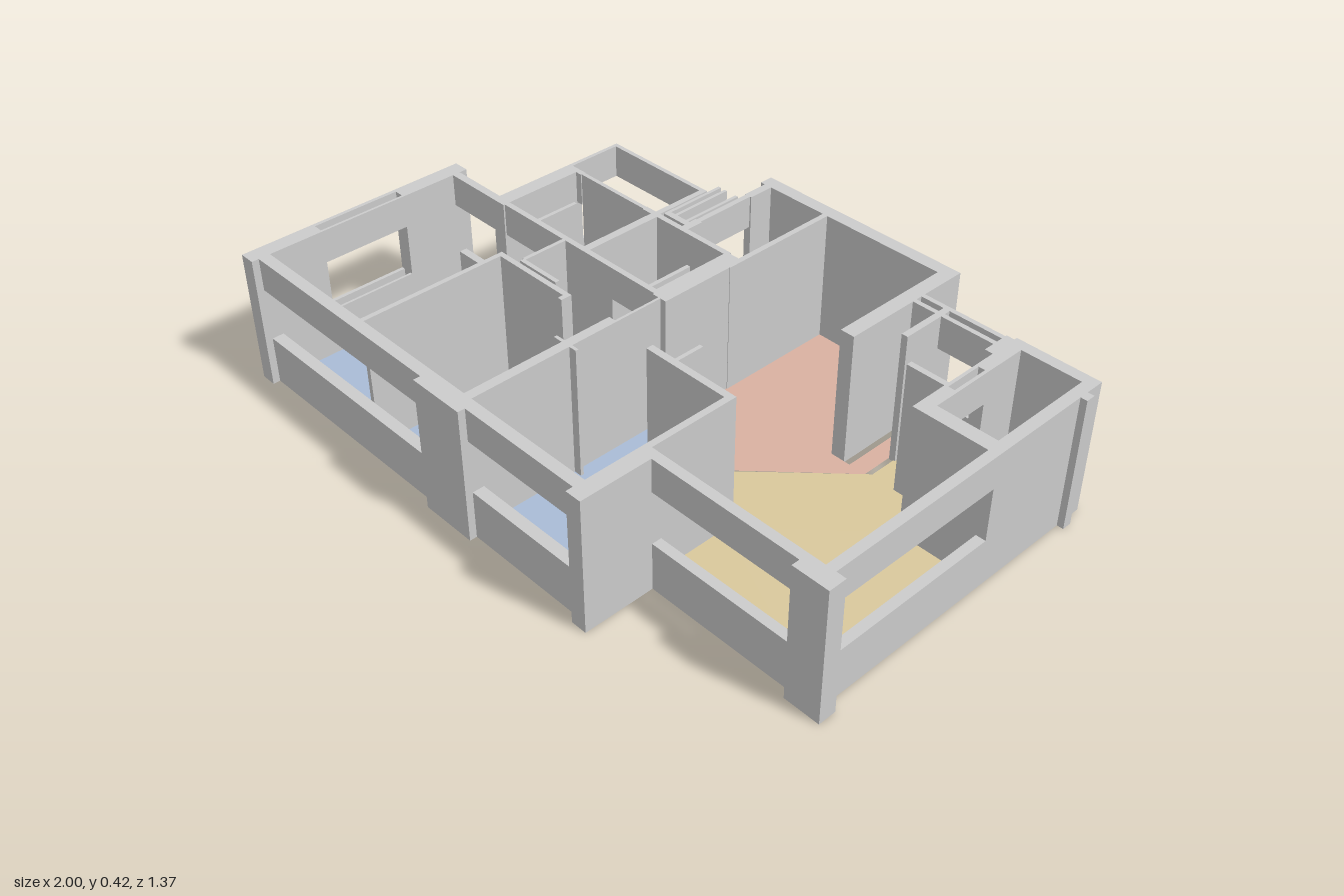
import * as THREE from 'three';

const H = 0.418, SILL = 0.15, HEAD = 0.315;

export function createModel() {
  const root = new THREE.Group();
  root.name = 'apartment';
  const grey = new THREE.MeshStandardMaterial({ color: 0xcccccc });

  // Box given by its plan limits and height range
  function wall(name, x0, x1, z0, z1, y0 = 0, y1 = H) {
    const m = new THREE.Mesh(new THREE.BoxGeometry(x1 - x0, y1 - y0, z1 - z0), grey);
    m.position.set((x0 + x1) / 2, (y0 + y1) / 2, (z0 + z1) / 2);
    m.name = name;
    root.add(m);
  }
  // Sill and lintel with an open band between
  function windowWall(name, x0, x1, z0, z1) {
    wall(name + 'Sill', x0, x1, z0, z1, 0, SILL);
    wall(name + 'Lintel', x0, x1, z0, z1, HEAD, H);
  }
  // Doorway: lintel only
  const doorway = (name, ...plan) => wall(name + 'Lintel', ...plan, HEAD, H);

  // Room floors
  function floor(name, color, pts) {
    const shape = new THREE.Shape(pts.map(([x, z]) => new THREE.Vector2(x, -z)));
    const geo = new THREE.ShapeGeometry(shape).rotateX(-Math.PI / 2);
    const mat = new THREE.MeshStandardMaterial({ color, side: THREE.DoubleSide });
    const m = new THREE.Mesh(geo, mat);
    m.position.y = 0.004;
    m.name = name;
    root.add(m);
  }
  const rect = (x0, x1, z0, z1) => [[x0, z0], [x1, z0], [x1, z1], [x0, z1]];
  floor('bedroomFloor', 0xa9bcd6, [[-0.95, -0.01], [-0.45, -0.02], [0.085, -0.02], [0.175, 0.06],
    [0.175, 0.15], [0.375, 0.17], [0.375, 0.625], [-0.95, 0.625]]);
  floor('diningFloor', 0xd9b1a1, [[-0.03, -0.645], [0.375, -0.645], [0.375, -0.25], [0.44, -0.25],
    [0.44, -0.48], [0.495, -0.48], [0.495, -0.25], [0.175, 0.06], [0.085, -0.02], [-0.03, -0.02]]);
  floor('livingFloor', 0xd9c89c, [[0.51, -0.49], [0.71, -0.49], [0.71, -0.14], [0.94, -0.14], [0.94, 0.43],
    [0.385, 0.43], [0.385, 0.17], [0.18, 0.15], [0.18, 0.06], [0.495, -0.25], [0.51, -0.265]]);
  floor('kitchenFloor', 0xb9beb7, [[-0.25, -0.645], [-0.045, -0.645], [-0.045, -0.53], [-0.105, -0.5],
    [-0.045, -0.47], [-0.045, -0.3], [-0.25, -0.3]]);
  floor('bathroomFloor', 0x9fcbc8, rect(-0.36, -0.09, -0.29, -0.03));
  floor('balconyFloor', 0xcbc5bb, rect(-0.75, -0.38, -0.48, -0.3));
  floor('studyFloor', 0xcbc5bb, rect(-0.71, -0.385, -0.29, -0.03));
  floor('storeFloor', 0xcbc5bb, rect(0.75, 0.935, -0.52, -0.18));

  // Left end of the house
  wall('leftWallBack', -1, -0.95, -0.06, 0.17);
  wall('leftWallFront', -1, -0.95, 0.45, 0.68);
  windowWall('leftWindowOuter', -1, -0.988, 0.17, 0.45);
  windowWall('leftWindowInner', -0.958, -0.95, 0.17, 0.45);
  windowWall('leftRoomBackWindow', -0.95, -0.76, -0.035, -0.01);

  // Front face
  windowWall('frontLeftWindow', -0.95, -0.21, 0.622, 0.658);
  wall('frontPier', -0.21, -0.03, 0.622, 0.68);
  windowWall('frontMiddleWindow', -0.03, 0.37, 0.622, 0.658);
  wall('stepWall', 0.37, 0.42, 0.43, 0.68);
  windowWall('frontRightWindow', 0.42, 0.89, 0.43, 0.46);
  wall('frontCornerPier', 0.89, 1, 0.43, 0.485);

  // Right face and store room
  windowWall('rightWindow', 0.94, 0.97, -0.14, 0.43);
  wall('storeFrontWall', 0.71, 0.97, -0.18, -0.135);
  wall('storeRightWall', 0.935, 0.97, -0.55, -0.18);
  wall('storeBackWall', 0.71, 0.97, -0.55, -0.515);
  wall('storeLeftWallBack', 0.71, 0.75, -0.515, -0.38);
  wall('storeLeftWallFront', 0.71, 0.75, -0.26, -0.18);
  doorway('storeDoor', 0.71, 0.72, -0.38, -0.26);
  doorway('storeDoorInner', 0.74, 0.75, -0.38, -0.26);
  wall('storeButtress', 0.97, 0.99, -0.49, -0.46);
  wall('hallStub', 0.59, 0.71, -0.275, -0.257);

  // Double window at the back right
  windowWall('backRightWindowOuter', 0.42, 0.71, -0.535, -0.52);
  windowWall('backRightWindowInner', 0.42, 0.71, -0.5, -0.485);
  wall('backWindowPost', 0.495, 0.515, -0.53, -0.35);
  wall('backWindowJamb', 0.685, 0.71, -0.54, -0.45);

  // Tall block at the back
  wall('backWall', -0.29, 0.42, -0.685, -0.643);
  wall('diningRightWall', 0.375, 0.42, -0.643, -0.25);
  wall('kitchenDivider', -0.045, -0.028, -0.643, -0.25);
  wall('kitchenCornerPier', -0.08, -0.03, -0.3, -0.01);
  wall('kitchenLeftJamb', -0.275, -0.25, -0.643, -0.56);
  windowWall('kitchenLeftWindow', -0.272, -0.255, -0.56, -0.36);
  wall('kitchenLeftEnd', -0.275, -0.25, -0.36, -0.29);

  // Equipment ledge beside the kitchen
  for (const x of [-0.36, -0.335, -0.29]) windowWall('ledgeRail', x, x + 0.01, -0.535, -0.32);
  windowWall('ledgeFront', -0.36, -0.275, -0.335, -0.315);

  // Rear balcony
  windowWall('balconyBack', -0.76, -0.365, -0.492, -0.478);
  windowWall('balconyLeft', -0.76, -0.748, -0.478, -0.305);
  wall('balconyRight', -0.383, -0.365, -0.478, -0.3);

  // Study and bathroom
  wall('studyLeftWall', -0.76, -0.712, -0.305, -0.01);
  doorway('studyBackDoor', -0.712, -0.69, -0.305, -0.287);
  wall('studyBackWall', -0.69, -0.42, -0.303, -0.29);
  doorway('studyBackOpening', -0.42, -0.383, -0.305, -0.287);
  wall('bathroomBackWall', -0.383, -0.08, -0.305, -0.287);
  wall('bathroomDivider', -0.385, -0.36, -0.29, -0.03);
  doorway('studyDoor', -0.712, -0.58, -0.033, -0.015);
  wall('studyFrontWall', -0.58, -0.25, -0.033, -0.015);
  doorway('bathroomDoor', -0.25, -0.12, -0.033, -0.015);
  wall('bathroomRightWall', -0.12, -0.08, -0.033, -0.015);
  wall('bathroomSideWall', -0.09, -0.08, -0.29, -0.03);

  // Bedroom partitions
  wall('bedroomLeftPartition', -0.52, -0.505, 0.15, 0.622);
  wall('bedroomLeftHallWall', -0.52, -0.225, 0.15, 0.167);
  wall('bedroomLeftHallEnd', -0.24, -0.225, 0.15, 0.185);
  wall('wardrobeWall', -0.45, -0.3, 0.128, 0.142);
  wall('bedroomMiddlePartition', -0.08, -0.05, 0.145, 0.622);
  wall('partitionStub', -0.11, -0.025, 0.298, 0.308);
  wall('bedroomRightHallWall', 0.09, 0.39, 0.148, 0.17);
  wall('bedroomRightPartition', 0.37, 0.39, 0.15, 0.43);
  wall('hallPost', 0.172, 0.184, 0.06, 0.148);

  // Open door leaves
  const leaves = [[-0.585, -0.573, -0.17, -0.033], [-0.12, -0.107, -0.175, -0.033],
    [-0.455, -0.443, -0.02, 0.13], [-0.058, -0.05, -0.015, 0.145]];
  for (const leaf of leaves) wall('doorLeaf', ...leaf);

  return root;
}
